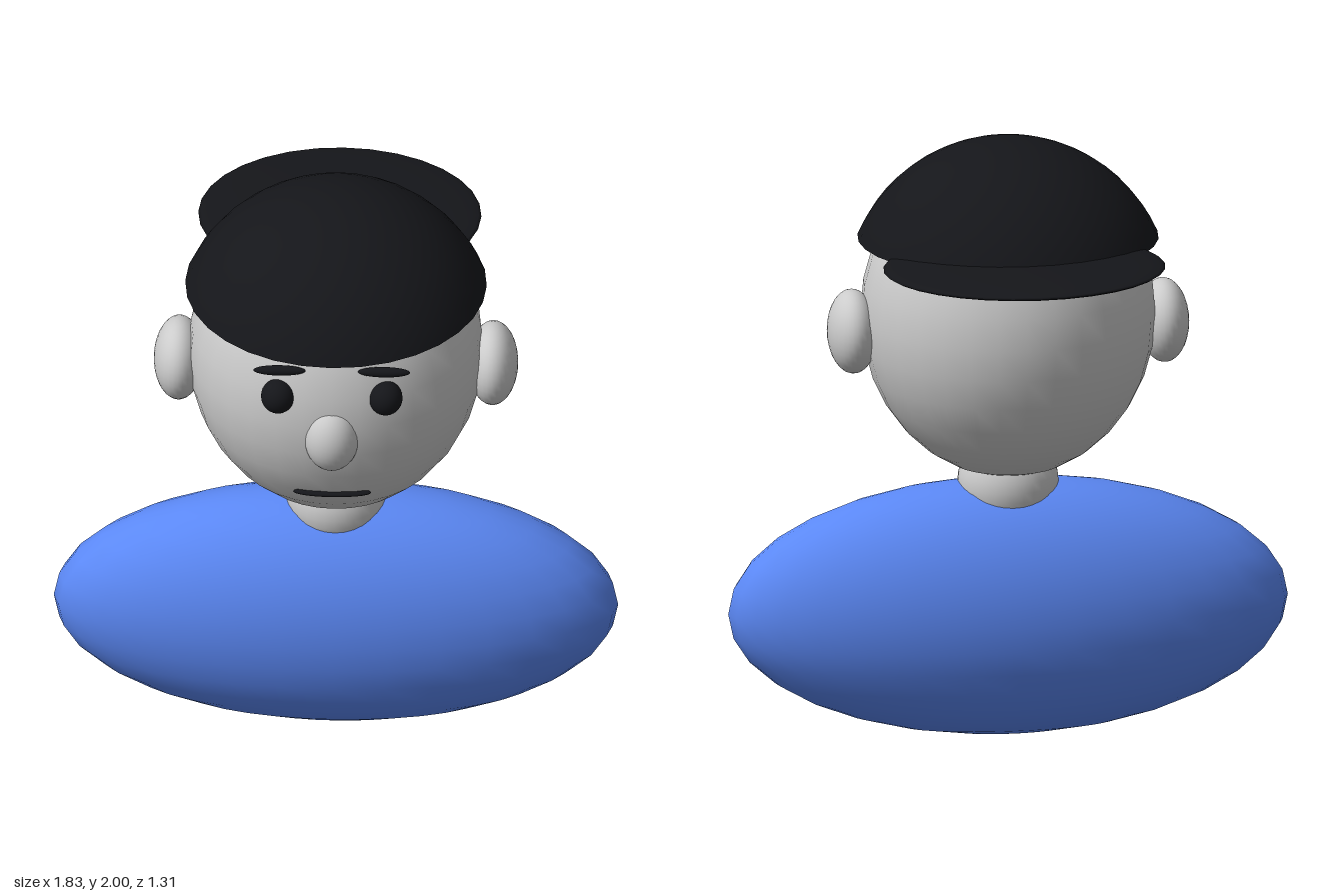
import * as THREE from 'three';

export function createModel() {
  const model = new THREE.Group();
  const skin = new THREE.MeshStandardMaterial({ color: 0xcccccc });
  const black = new THREE.MeshStandardMaterial({ color: 0x15161a });
  const capCloth = new THREE.MeshStandardMaterial({ color: 0x15161a, side: THREE.DoubleSide });
  const shirt = new THREE.MeshStandardMaterial({ color: 0x5b88f5 });
  const ball = new THREE.SphereGeometry(1, 32, 16);
  const axisZ = 0.123; // body axis, the brim reaches further back

  function part(name, material, position, radii, geometry = ball) {
    const mesh = new THREE.Mesh(geometry, material);
    mesh.name = name;
    mesh.position.set(...position);
    mesh.scale.set(...radii);
    model.add(mesh);
    return mesh;
  }

  // Body and head
  part('torso', shirt, [0, 0.434, axisZ], [0.917, 0.43, 0.304]);
  part('neck', skin, [0, 0.85, axisZ], [0.165, 0.165, 0.165]);
  part('head', skin, [0, 1.42, axisZ], [0.48, 0.54, 0.48]);
  part('nose', skin, [0, 1.37, 0.562], [0.09, 0.118, 0.09]);
  part('mouth', black, [0, 1.12, 0.511], [0.127, 0.012, 0.025]);

  // Paired features
  for (const [side, s] of [['left', 1], ['right', -1]]) {
    part(side + 'Ear', skin, [s * 0.51, 1.375, axisZ], [0.082, 0.138, 0.138]);
    part(side + 'Eye', black, [s * 0.175, 1.523, 0.555], [0.055, 0.058, 0.055]);
    part(side + 'Eyebrow', black, [s * 0.17, 1.627, 0.56], [0.085, 0.017, 0.017]);
  }

  // Backwards cap: open dome with a thin oval brim
  const dome = new THREE.SphereGeometry(0.532, 32, 12, 0, Math.PI * 2, 0, 1.17);
  part('capDome', capCloth, [0, 1.468, axisZ], [1, 1, 1], dome);
  part('capBrim', black, [0, 1.68, -0.27], [0.46, 0.027, 0.383]);

  return model;
}
